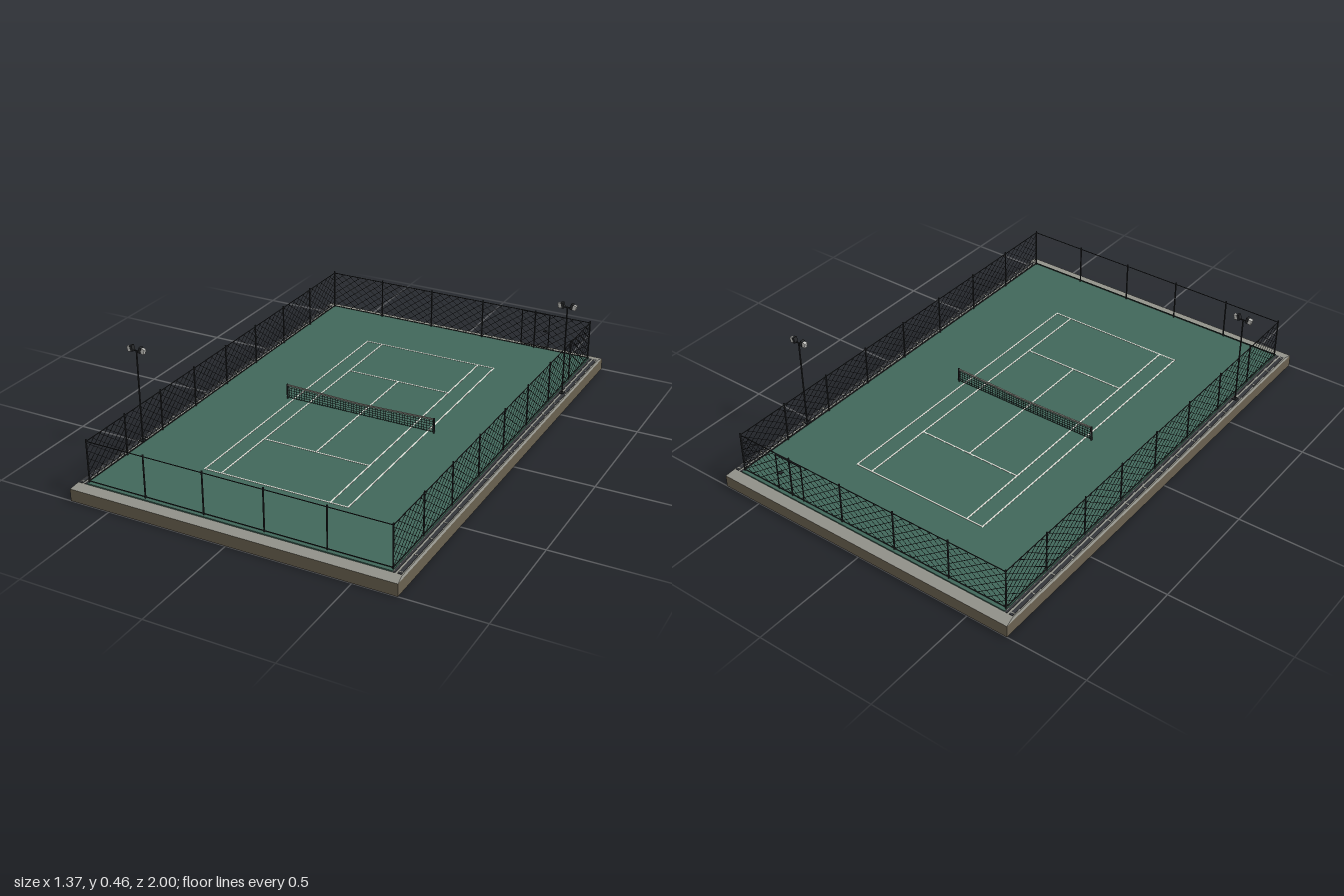
import * as THREE from 'three';
import { mergeGeometries } from 'three/addons/utils/BufferGeometryUtils.js';

const mat = (name, color) => {
  const m = new THREE.MeshStandardMaterial({ color });
  m.name = name;
  return m;
};

export function createModel() {
  const root = new THREE.Group();
  root.name = 'tennisCourt';
  const earth = mat('earthBrown', 0x6a6150);
  const stone = mat('kerbGrey', 0x92928a);
  const green = mat('courtGreen', 0x41675a);
  const white = mat('lineWhite', 0xe0e0d8);
  const dark = mat('metalDark', 0x252729);
  const drain = mat('drainDark', 0x34363a);
  const lampGrey = mat('lampGlass', 0xc8c8c4);

  const add = (name, geos, material, parent = root) => {
    const list = Array.isArray(geos) ? geos : [geos];
    const mesh = new THREE.Mesh(list.length > 1 ? mergeGeometries(list) : list[0], material);
    mesh.name = name;
    parent.add(mesh);
    return mesh;
  };
  const box = (w, h, d, x, y, z) => new THREE.BoxGeometry(w, h, d).translate(x, y, z);
  const post = (r, y0, y1, x, z) =>
    new THREE.CylinderGeometry(r, r, y1 - y0, 8).translate(x, (y0 + y1) / 2, z);
  // Square bar between two points
  const bar = (a, b, t) => {
    const dir = b.clone().sub(a);
    const g = new THREE.BoxGeometry(t, t, dir.length());
    const q = new THREE.Quaternion().setFromUnitVectors(new THREE.Vector3(0, 0, 1), dir.normalize());
    const mid = a.clone().add(b).multiplyScalar(0.5);
    return g.applyQuaternion(q).translate(mid.x, mid.y, mid.z);
  };

  // Ground slab and sloping kerb
  add('baseSlab', box(1.344, 0.05, 2, 0, 0.025, 0), earth);
  const kerb = box(1.344, 0.008, 2, 0, 0.054, 0);
  const kp = kerb.attributes.position;
  for (let i = 0; i < kp.count; i++) {
    if (kp.getY(i) > 0.054) kp.setXYZ(i, Math.sign(kp.getX(i)) * 0.667, 0.058, Math.sign(kp.getZ(i)) * 0.962);
  }
  kerb.computeVertexNormals();
  add('kerb', kerb, stone);
  add('courtSurface', box(1.256, 0.006, 1.91, 0, 0.06, 0), green);

  // Drainage channels with grate bars along both long sides
  const channels = [], grates = [];
  for (const s of [-1, 1]) {
    channels.push(box(0.008, 0.002, 1.91, s * 0.635, 0.059, 0));
    channels.push(box(0.015, 0.002, 1.91, s * 0.655, 0.059, 0));
    for (let i = -8; i <= 8; i++) grates.push(box(0.015, 0.001, 0.005, s * 0.655, 0.0606, i * 0.118));
  }
  add('drainChannels', channels, drain);
  add('drainGrateBars', grates, stone);

  // Court markings
  const LW = 0.006, LY = 0.0635;
  const lines = [box(LW, 0.001, 0.704, 0, LY, 0)];
  for (const s of [-1, 1]) {
    lines.push(box(LW, 0.001, 1.32, s * 0.304, LY, 0));
    lines.push(box(LW, 0.001, 1.32, s * 0.231, LY, 0));
    lines.push(box(0.614, 0.001, LW, 0, LY, s * 0.66));
    lines.push(box(0.462, 0.001, LW, 0, LY, s * 0.352));
  }
  add('courtLines', lines, white);

  // Net sagging toward the middle
  const net = new THREE.Group();
  net.name = 'net';
  root.add(net);
  const top = x => 0.113 + 0.01 * Math.abs(x) / 0.33;
  const v = (x, y, z) => new THREE.Vector3(x, y, z);
  add('netPosts', [-1, 1].map(s => post(0.004, 0.06, 0.127, s * 0.331, 0)), dark, net);
  const cords = [];
  for (let i = -27; i <= 27; i++) {
    const x = i * 0.012;
    cords.push(bar(v(x, 0.068, 0), v(x, top(x), 0), 0.0014));
  }
  for (const s of [-1, 1]) {
    for (let r = 0; r < 5; r++) {
      const k = r / 5;
      const y = x => 0.068 + (top(x) - 0.068) * k;
      cords.push(bar(v(0, y(0), 0), v(s * 0.33, y(0.33), 0), 0.0014));
    }
  }
  add('netCords', cords, dark, net);
  add('netBand', [-1, 1].map(s => {
    const g = bar(v(0, top(0), 0), v(s * 0.33, top(0.33), 0), 0.006);
    return g;
  }), stone, net);

  // Fence: posts, rails and diamond wire on a side running from -half to half
  const Y0 = 0.068, Y1 = 0.232;
  const fence = (name, half, bays, place, wired) => {
    const group = new THREE.Group();
    group.name = name;
    root.add(group);
    const posts = [];
    for (let i = 0; i <= bays; i++) {
      const p = place(-half + 2 * half * i / bays, 0);
      posts.push(post(0.0032, 0.055, 0.24, p.x, p.z));
    }
    add('fencePosts', posts, dark, group);
    add('fenceRails', [Y0, Y1].map(y => bar(place(-half, y), place(half, y), 0.0026)), dark, group);
    if (!wired) return;
    const wires = [], step = 2 * half / Math.round(2 * half / 0.042), run = (Y1 - Y0) / 0.75;
    for (let u = -half - Math.ceil(run / step) * step; u < half - 0.001; u += step) {
      const a = Math.max(u, -half), b = Math.min(u + run, half);
      if (b - a < 0.002) continue;
      const ya = Y0 + (a - u) * 0.75, yb = Y0 + (b - u) * 0.75;
      wires.push(bar(place(a, ya), place(b, yb), 0.0015));
      wires.push(bar(place(-a, ya), place(-b, yb), 0.0015));
    }
    add('fenceWire', wires, dark, group);
  };
  fence('leftFence', 0.942, 8, (u, y) => v(0.625, y, u), true);
  fence('rightFence', 0.942, 8, (u, y) => v(-0.625, y, u), true);
  fence('backFence', 0.625, 5, (u, y) => v(u, y, -0.942), true);
  fence('frontFence', 0.625, 5, (u, y) => v(u, y, 0.942), false);

  // Gate in the back fence
  add('gateFrame', [
    post(0.0025, 0.068, 0.23, 0.313, -0.945),
    post(0.0025, 0.068, 0.23, 0.44, -0.945),
    box(0.13, 0.004, 0.004, 0.3765, 0.23, -0.945),
    box(0.13, 0.003, 0.003, 0.3765, 0.072, -0.945),
    box(0.014, 0.004, 0.014, 0.423, 0.15, -0.945),
  ], dark);

  // Floodlights, one on each long side
  for (const s of [-1, 1]) {
    const light = new THREE.Group();
    light.name = s > 0 ? 'leftFloodlight' : 'rightFloodlight';
    light.position.set(s * 0.645, 0, -s * 0.578);
    root.add(light);
    add('pole', [
      post(0.0032, 0.058, 0.445, 0, 0),
      box(0.02, 0.005, 0.02, 0, 0.0605, 0),
      box(0.036, 0.004, 0.004, 0, 0.443, 0),
    ], dark, light);
    for (const k of [-1, 1]) {
      const head = new THREE.Group();
      head.name = 'lampHead';
      head.position.set(k * 0.025, 0.449, 0);
      head.rotation.z = -k * 0.25;
      light.add(head);
      add('lampHousing', box(0.011, 0.024, 0.017, -k * 0.006, 0, 0), dark, head);
      add('lampGlass', box(0.014, 0.021, 0.014, k * 0.0065, 0, 0), lampGrey, head);
    }
  }
  return root;
}
